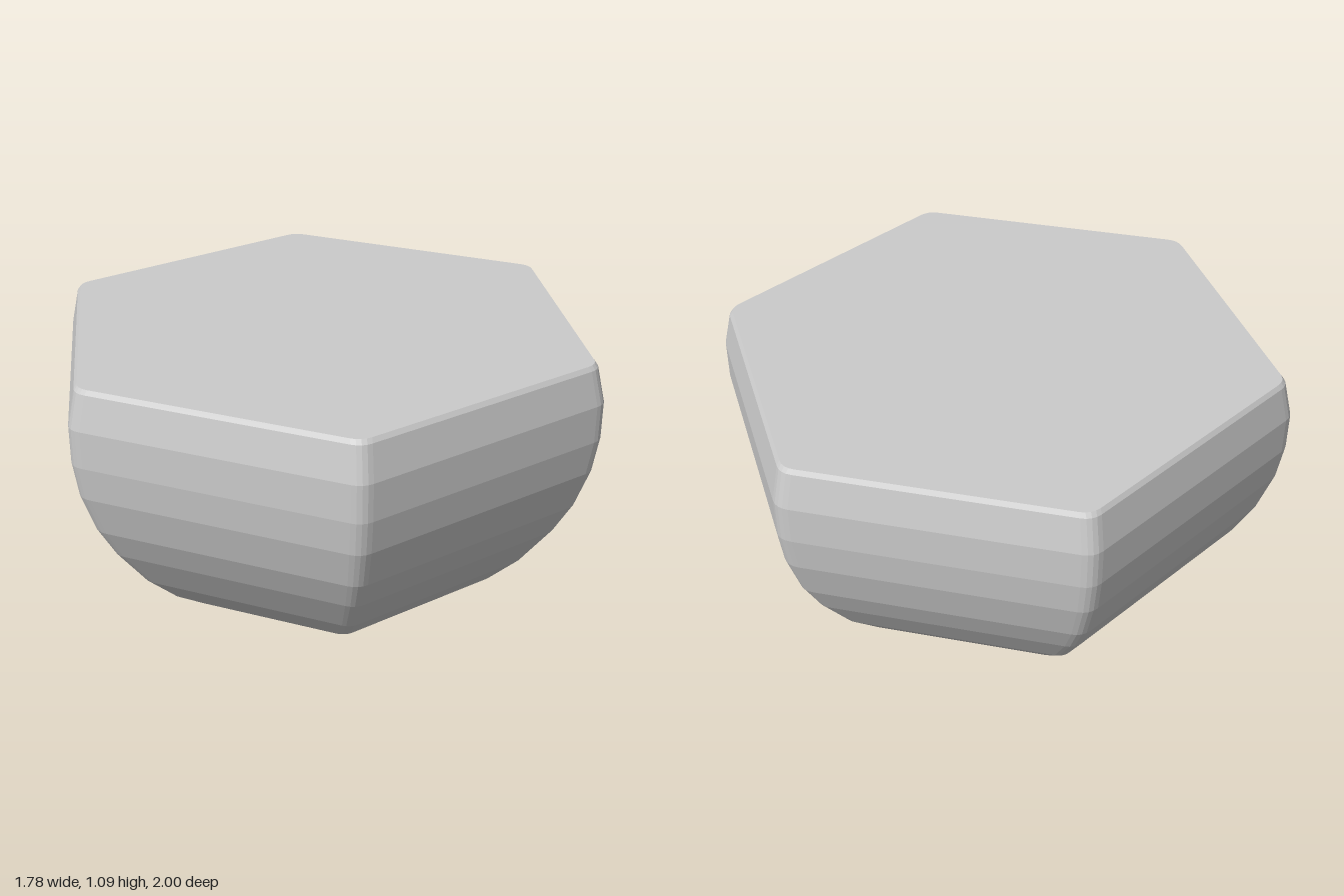
import * as THREE from 'three';

// Height and scale of each hexagonal ring, from the bottom tip to the flat top
const PROFILE = [
  [0, 0], [0.003, 0.08], [0.05, 0.31], [0.15, 0.54], [0.215, 0.645],
  [0.31, 0.75], [0.45, 0.86], [0.56, 0.925], [0.7, 0.977], [0.82, 0.998],
  [0.95, 1], [1.07, 0.972], [1.085, 0.96], [1.085, 0],
];
const TURN = THREE.MathUtils.degToRad(-2.1);

// Hexagon outline with slightly rounded corners, counterclockwise from above
function hexOutline(radius, round) {
  const corner = k => {
    const a = TURN + k * Math.PI / 3;
    return new THREE.Vector2(Math.sin(a), Math.cos(a)).multiplyScalar(radius);
  };
  const points = [];
  for (let k = 0; k < 6; k++) {
    const c = corner(k);
    const before = c.clone().lerp(corner(k - 1), round);
    const after = c.clone().lerp(corner(k + 1), round);
    points.push(...new THREE.QuadraticBezierCurve(before, c, after).getPoints(4));
  }
  return points;
}

// Joins the scaled outlines into a closed, faceted solid
function stoneGeometry() {
  const outline = hexOutline(1.011, 0.04);
  const n = outline.length;
  const positions = [];
  const put = (r, i) => {
    const [y, s] = PROFILE[r];
    const p = outline[i % n];
    positions.push(p.x * s, y, p.y * s);
  };
  for (let r = 0; r < PROFILE.length - 1; r++) {
    for (let i = 0; i < n; i++) {
      if (PROFILE[r][1] > 0) { put(r, i); put(r, i + 1); put(r + 1, i + 1); }
      if (PROFILE[r + 1][1] > 0) { put(r, i); put(r + 1, i + 1); put(r + 1, i); }
    }
  }
  const geometry = new THREE.BufferGeometry();
  geometry.setAttribute('position', new THREE.Float32BufferAttribute(positions, 3));
  geometry.computeVertexNormals();
  return geometry;
}

export function createModel() {
  const group = new THREE.Group();
  const material = new THREE.MeshStandardMaterial({ color: 0xcccccc, flatShading: true });
  const stone = new THREE.Mesh(stoneGeometry(), material);
  stone.name = 'hexagonalDomedStone';
  group.add(stone);
  return group;
}
